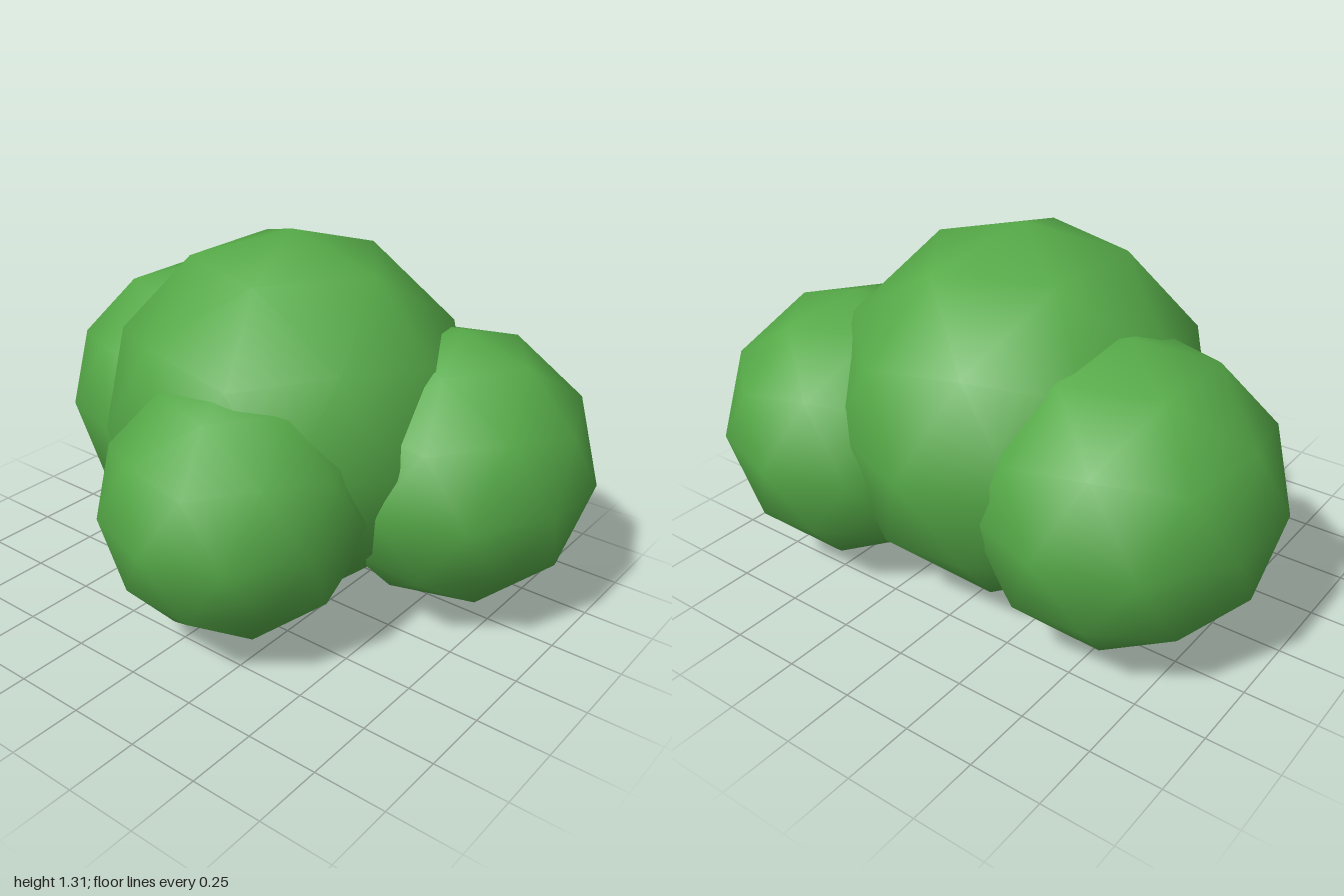
import * as THREE from 'three';

export function createModel() {
  const group = new THREE.Group();
  group.name = 'bush';
  const leafGreen = new THREE.MeshStandardMaterial({ color: 0x56aa48 });
  leafGreen.name = 'leaf green';

  // angle that stands an icosphere on one of its corners
  const tilt = -Math.atan(2 / (1 + Math.sqrt(5)));

  // one smooth low-poly ball of foliage
  function addClump(name, radius, x, y, z) {
    const geometry = new THREE.IcosahedronGeometry(radius, 1).rotateZ(tilt);
    const mesh = new THREE.Mesh(geometry, leafGreen);
    mesh.name = name;
    mesh.position.set(x, y, z);
    group.add(mesh);
  }

  addClump('mainClump', 0.654, -0.01, 0.654, -0.09);
  addClump('frontClump', 0.453, 0.1, 0.5, 0.347);
  addClump('leftClump', 0.489, 0.533, 0.527, -0.311);
  addClump('rightClump', 0.521, -0.505, 0.553, -0.204);

  return group;
}
